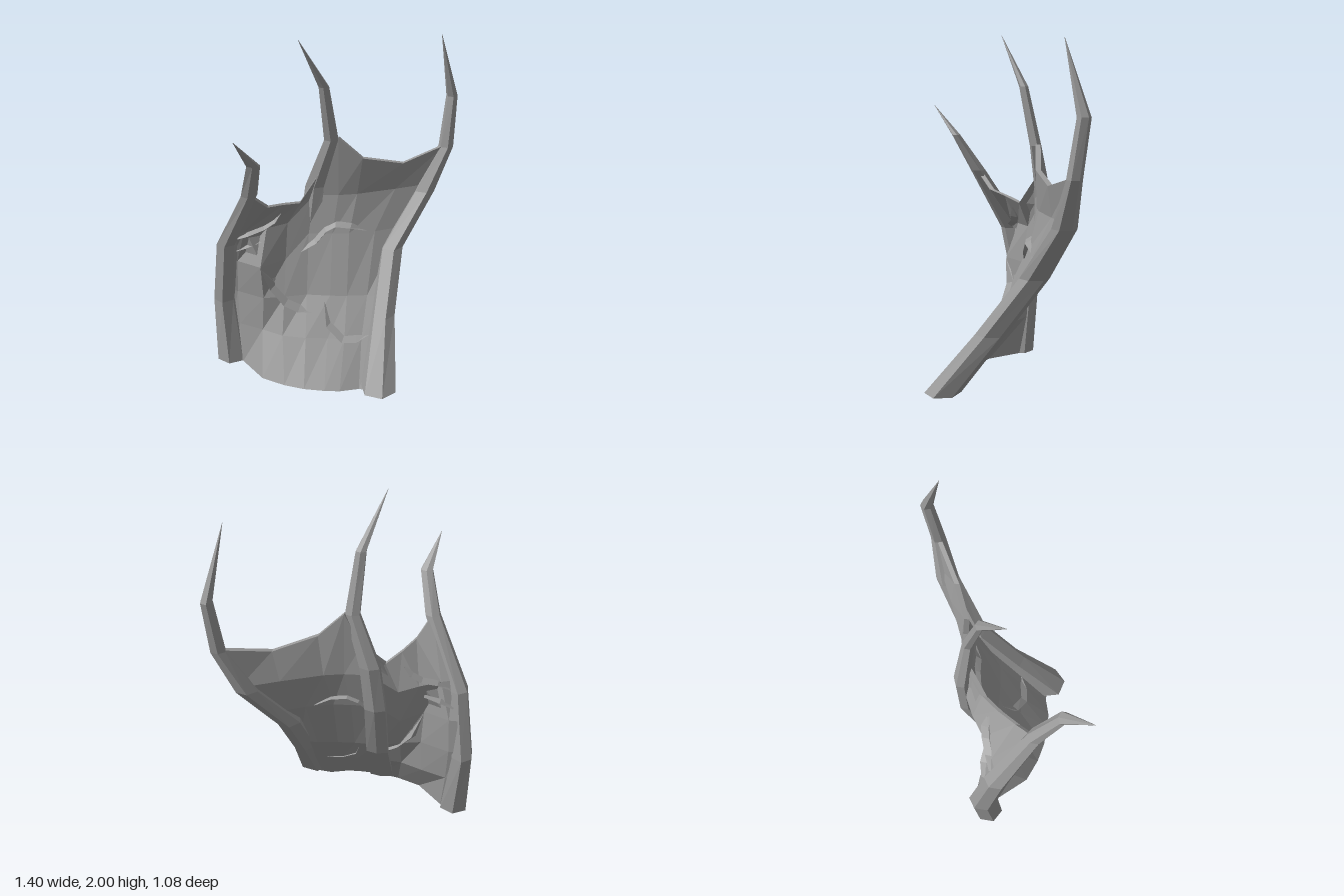
import * as THREE from 'three';

const material = new THREE.MeshStandardMaterial({ color: 0x999999, flatShading: true, side: THREE.DoubleSide });

function meshFrom(name, tris) {
  const geometry = new THREE.BufferGeometry();
  geometry.setAttribute('position', new THREE.Float32BufferAttribute(tris.flat(), 3));
  geometry.computeVertexNormals();
  const mesh = new THREE.Mesh(geometry, material);
  mesh.name = name;
  return mesh;
}

const quad = (out, a, b, c, d) => out.push(a, b, c, a, c, d);

// Skin of closed rings, each an array of points of equal count
function loft(name, rings) {
  const out = [];
  for (let i = 0; i + 1 < rings.length; i++) {
    const n = rings[i].length;
    for (let j = 0; j < n; j++) {
      const k = (j + 1) % n;
      quad(out, rings[i][j], rings[i][k], rings[i + 1][k], rings[i + 1][j]);
    }
  }
  return meshFrom(name, out);
}

// Hollow six-sided strut; stations are [y, x, z, rx, rz], open at the foot, pointed at the tip
function strut(name, turn, stations) {
  return loft(name, stations.map(([y, x, z, rx, rz]) =>
    Array.from({ length: 6 }, (_, k) => {
      const a = turn - k * Math.PI / 3;
      return [x + rx * 1.06 * Math.cos(a), y, z + rz * 1.03 * Math.sin(a)];
    })));
}

// Sheet from rows of points running towards +x, with a thickness per row, closed along top and bottom
function sheet(name, rows, thickness) {
  const out = [];
  const back = rows.map((r, i) => r.map(([x, y, z]) => [x, y, z - thickness[i]]));
  for (let i = 0; i + 1 < rows.length; i++) {
    for (let j = 0; j + 1 < rows[i].length; j++) {
      quad(out, rows[i][j], rows[i][j + 1], rows[i + 1][j + 1], rows[i + 1][j]);
      quad(out, back[i][j + 1], back[i][j], back[i + 1][j], back[i + 1][j + 1]);
    }
  }
  const t = rows.length - 1;
  for (let j = 0; j + 1 < rows[0].length; j++) {
    quad(out, rows[t][j], rows[t][j + 1], back[t][j + 1], back[t][j]);
    quad(out, back[0][j], back[0][j + 1], rows[0][j + 1], rows[0][j]);
  }
  return meshFrom(name, out);
}

// Raised lip of a tear, following a path of [x, y] laid on the membrane
function tear(name, membrane, width, path) {
  const ray = new THREE.Raycaster();
  const last = path.length - 1;
  return loft(name, path.map(([x, y], i) => {
    ray.set(new THREE.Vector3(x, y, 3), new THREE.Vector3(0, 0, -1));
    const z = ray.intersectObject(membrane)[0].point.z;
    const a = path[Math.max(i - 1, 0)], b = path[Math.min(i + 1, last)];
    const len = Math.hypot(b[0] - a[0], b[1] - a[1]);
    const w = i === 0 || i === last ? 0.003 : width;
    const nx = -(b[1] - a[1]) / len * w, ny = (b[0] - a[0]) / len * w;
    return [
      [x + nx, y + ny, z - 0.015],
      [x + nx * 0.3, y + ny * 0.3, z - 0.04 - w],
      [x - nx, y - ny, z - 0.01],
      [x - nx * 0.5, y - ny * 0.5, z + w * 1.5],
    ];
  }));
}

export function createModel() {
  const group = new THREE.Group();
  group.name = 'webbedMembrane';

  // Three struts ending in curved claws
  group.add(
    strut('rightStrut', Math.PI / 6, [
      [0, -0.61, 0.03, 0.085, 0.085], [0.41, -0.64, 0.0, 0.063, 0.08],
      [0.82, -0.59, 0.08, 0.057, 0.07], [1.2, -0.41, 0.26, 0.045, 0.045],
      [1.42, -0.355, 0.385, 0.037, 0.025], [1.6, -0.42, 0.54, 0.001, 0.001],
    ]),
    strut('middleStrut', Math.PI / 6, [
      [0, -0.13, 0.27, 0.08, 0.03], [0.42, -0.14, -0.05, 0.07, 0.035],
      [0.8, -0.14, -0.175, 0.065, 0.045], [1.08, -0.11, -0.195, 0.06, 0.045],
      [1.38, -0.01, -0.165, 0.043, 0.032], [1.71, -0.043, -0.09, 0.03, 0.025],
      [2.0, -0.16, 0.06, 0.001, 0.001],
    ]),
    strut('leftStrut', Math.PI / 12, [
      [0.02, 0.315, 0.3, 0.1, 0.1], [0.37, 0.32, 0.025, 0.068, 0.085],
      [0.7, 0.35, -0.22, 0.067, 0.08], [1.0, 0.53, -0.4, 0.063, 0.065],
      [1.26, 0.65, -0.462, 0.042, 0.04], [1.56, 0.67, -0.507, 0.032, 0.035],
      [1.94, 0.59, -0.4, 0.001, 0.001],
    ]));

  // Webbing between the struts: rows from foot to scalloped rim
  const row = (y, xz) => xz.map(([x, z]) => [x, y, z]);
  const membrane = sheet('membrane', [
    row(0, [[-0.58, 0.05], [-0.53, 0.08], [-0.38, 0.245], [-0.24, 0.3], [-0.12, 0.325],
      [0, 0.33], [0.09, 0.325], [0.2, 0.29], [0.3, 0.3]]),
    row(0.24, [[-0.6, 0.02], [-0.55, 0.03], [-0.4, 0.085], [-0.27, 0.14], [-0.13, 0.15],
      [0, 0.14], [0.1, 0.14], [0.2, 0.12], [0.3, 0.12]]),
    row(0.45, [[-0.62, 0], [-0.56, 0], [-0.39, 0.07], [-0.27, 0.04], [-0.14, 0],
      [0, 0], [0.1, -0.01], [0.22, -0.03], [0.33, -0.03]]),
    [...row(0.66, [[-0.6, 0.01], [-0.55, 0.01], [-0.4, 0.08], [-0.27, -0.04]]),
      ...row(0.8, [[-0.14, -0.12], [0, -0.13], [0.1, -0.14], [0.25, -0.19], [0.41, -0.27]])],
    [...row(0.88, [[-0.56, 0.1], [-0.49, 0.07], [-0.37, 0], [-0.26, -0.08]]),
      ...row(1.03, [[-0.11, -0.17], [0.03, -0.18], [0.14, -0.21], [0.36, -0.31], [0.56, -0.41]])],
    [[-0.41, 1.2, 0.27], [-0.33, 1.09, 0.17], [-0.26, 1.06, 0.06], [-0.18, 1.03, -0.04], [-0.06, 1.2, -0.16],
      [0.03, 1.39, -0.17], [0.17, 1.26, -0.195], [0.4, 1.2, -0.295], [0.65, 1.27, -0.45]],
  ], [0.06, 0.05, 0.04, 0.035, 0.035, 0.03]);
  group.add(membrane);

  // Tears with raised lips
  group.add(
    tear('upperLeftTear', membrane, 0.02, [[-0.18, 0.7], [-0.1, 0.76], [-0.04, 0.83], [0.02, 0.86], [0.11, 0.85], [0.2, 0.81]]),
    tear('lowerLeftTear', membrane, 0.02, [[-0.03, 0.42], [0, 0.31], [0.09, 0.24], [0.17, 0.24], [0.24, 0.26]]),
    tear('lowerRightTear', membrane, 0.022, [[-0.4, 0.65], [-0.34, 0.51], [-0.26, 0.42], [-0.18, 0.38], [-0.1, 0.365]]),
    tear('upperRightTear', membrane, 0.02, [[-0.55, 0.83], [-0.47, 0.87], [-0.38, 0.9], [-0.32, 0.94], [-0.28, 0.99]]),
    tear('upperRightTearLowerLip', membrane, 0.015, [[-0.57, 0.73], [-0.49, 0.77], [-0.4, 0.8]]));

  return group;
}
